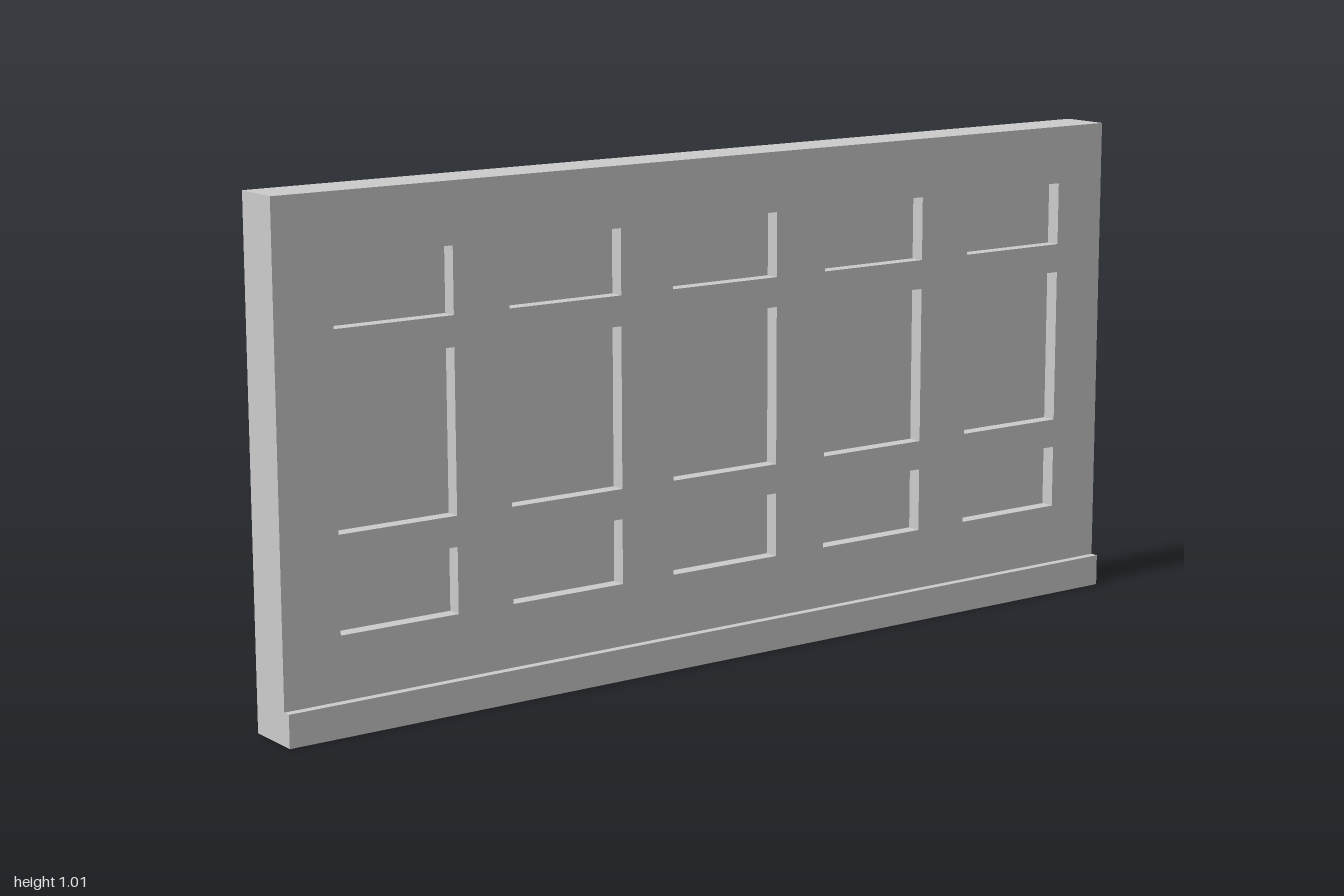
import * as THREE from 'three';

const HEIGHT = 1.01, LENGTH = 2;
const BACK = -0.06, FACE = 0.043, RECESS = 0.03, BASE_FRONT = 0.06, BASE_HEIGHT = 0.065;

function rectangle(path, u0, v0, u1, v1) {
  path.moveTo(u0, v0);
  path.lineTo(u1, v0);
  path.lineTo(u1, v1);
  path.lineTo(u0, v1);
  path.closePath();
  return path;
}

export function createModel() {
  const group = new THREE.Group();
  group.name = 'panelledWall';
  const material = new THREE.MeshStandardMaterial({ color: 0xcccccc, flatShading: true });

  const add = (name, geometry) => {
    const mesh = new THREE.Mesh(geometry, material);
    mesh.name = name;
    group.add(mesh);
  };
  const slab = (x0, x1, height) =>
    new THREE.BoxGeometry(x1 - x0, height, LENGTH).translate((x0 + x1) / 2, height / 2, 0);

  // Solid wall behind, whose front shows as the recess floors
  add('wallCore', slab(BACK, FACE - RECESS, HEIGHT));

  // Facing with five columns of three rectangular recesses
  const facing = rectangle(new THREE.Shape(), -LENGTH / 2, 0, LENGTH / 2, HEIGHT);
  const rows = [[0.19, 0.32], [0.38, 0.7], [0.76, 0.89]];
  const halfWidth = 0.127;
  for (let column = -2; column <= 2; column++) {
    const centre = column * 0.376;
    for (const [bottom, top] of rows) {
      facing.holes.push(rectangle(new THREE.Path(), centre - halfWidth, bottom, centre + halfWidth, top));
    }
  }
  const facingGeometry = new THREE.ExtrudeGeometry(facing, { depth: RECESS, bevelEnabled: false });
  facingGeometry.rotateY(Math.PI / 2).translate(FACE - RECESS, 0, 0);
  add('panelFacing', facingGeometry);

  // Skirting along the foot of the panelled side
  add('skirting', slab(FACE, BASE_FRONT, BASE_HEIGHT));

  return group;
}
